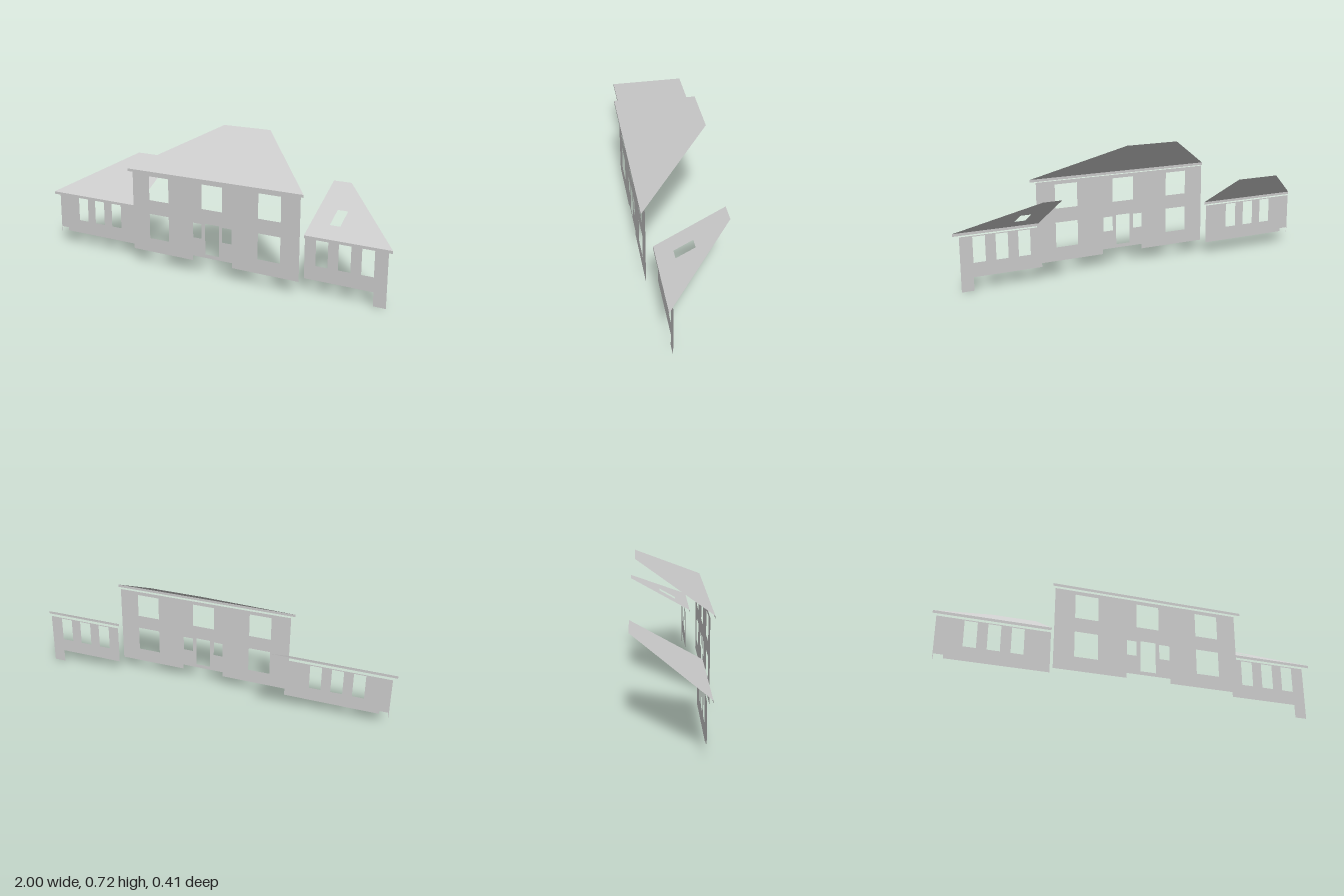
import * as THREE from 'three';

const material = new THREE.MeshStandardMaterial({ color: 0xcccccc, side: THREE.DoubleSide });

const toPoints = (list) => list.map(([x, y]) => new THREE.Vector2(x, y));

// Flat sheet from an outline, with rectangular openings [x0, x1, y0, y1]
function sheet(outline, openings = []) {
  const shape = new THREE.Shape(toPoints(outline));
  for (const [x0, x1, y0, y1] of openings) {
    shape.holes.push(new THREE.Path(toPoints([[x0, y0], [x0, y1], [x1, y1], [x1, y0]])));
  }
  return new THREE.ShapeGeometry(shape);
}

// Upright wall at depth z
function wall(name, z, outline, openings) {
  const mesh = new THREE.Mesh(sheet(outline, openings), material);
  mesh.name = name;
  mesh.position.z = z;
  return mesh;
}

// Single roof slope, drawn in plan and lifted from the eave to the ridge
function roof(name, { eave, ridge, eaveZ, ridgeZ, eaveY, ridgeY }, openings = []) {
  const plan = [[eave[0], -eaveZ], [eave[1], -eaveZ], [ridge[1], -ridgeZ], [ridge[0], -ridgeZ]];
  const geometry = sheet(plan, openings.map(([x0, x1, z0, z1]) => [x0, x1, -z1, -z0]));
  geometry.rotateX(-Math.PI / 2);
  const p = geometry.attributes.position;
  for (let i = 0; i < p.count; i++) {
    const t = (eaveZ - p.getZ(i)) / (eaveZ - ridgeZ);
    p.setY(i, eaveY + t * (ridgeY - eaveY));
  }
  geometry.computeVertexNormals();
  const mesh = new THREE.Mesh(geometry, material);
  mesh.name = name;
  return mesh;
}

// Thin board hanging below an eave
function fascia(name, { eave: [x0, x1], eaveZ, eaveY }) {
  const y = eaveY - 0.014;
  return wall(name, eaveZ, [[x0, y], [x1, y], [x1, eaveY], [x0, eaveY]]);
}

export function createModel() {
  const house = new THREE.Group();
  house.name = 'houseFront';

  // Wall tops and base line
  const base = 0.07, mainTop = 0.5, wingTop = 0.283;
  const mainZ = 0.177, wingZ = 0.118;

  // Main block: windows in two rows, door and sidelights
  const columns = [[-0.318, -0.198], [0.003, 0.123], [0.326, 0.449]];
  const mainOpenings = [
    ...columns.map(([a, b]) => [a, b, 0.353, 0.481]),
    [...columns[0], 0.144, 0.278],
    [...columns[2], 0.144, 0.278],
    [0.024, 0.104, 0.115, 0.278],
    [-0.048, 0.002, 0.195, 0.273],
    [0.124, 0.179, 0.195, 0.273],
  ];
  house.add(wall('mainWall', mainZ, [
    [-0.422, base], [-0.05, base], [-0.05, 0.096], [0.182, 0.096], [0.182, base],
    [0.551, base], [0.551, mainTop], [-0.422, mainTop],
  ], mainOpenings));

  // Wings: three tall windows each, base stepped at the outer corner
  const wingWindows = (starts) => starts.map((x) => [x, x + 0.063, 0.144, 0.278]);
  house.add(wall('rightWingWall', wingZ, [
    [-0.979, 0.06], [-0.976, 0.06], [-0.976, 0.088], [-0.93, 0.088], [-0.93, base],
    [-0.422, base], [-0.422, wingTop], [-0.979, wingTop],
  ], wingWindows([-0.845, -0.731, -0.616])));
  house.add(wall('leftWingWall', wingZ, [
    [0.551, base], [0.909, base], [0.909, 0], [0.973, 0],
    [0.973, wingTop], [0.551, wingTop],
  ], wingWindows([0.61, 0.727, 0.844])));

  // Roof slopes with their fascia boards
  const slopes = {
    main: { eave: [-0.439, 0.575], ridge: [-0.07, 0.204], eaveZ: 0.199, ridgeZ: -0.174, eaveY: 0.513, ridgeY: 0.718 },
    rightWing: { eave: [-1, -0.425], ridge: [-0.658, -0.425], eaveZ: 0.142, ridgeZ: -0.206, eaveY: 0.297, ridgeY: 0.494 },
    leftWing: { eave: [0.556, 1], ridge: [0.556, 0.651], eaveZ: 0.142, ridgeZ: -0.2, eaveY: 0.297, ridgeY: 0.491 },
  };
  const skylight = [[0.653, 0.707, -0.03, 0.062]];
  for (const [part, slope] of Object.entries(slopes)) {
    house.add(roof(part + 'Roof', slope, part === 'leftWing' ? skylight : []));
    house.add(fascia(part + 'Fascia', slope));
  }
  return house;
}
